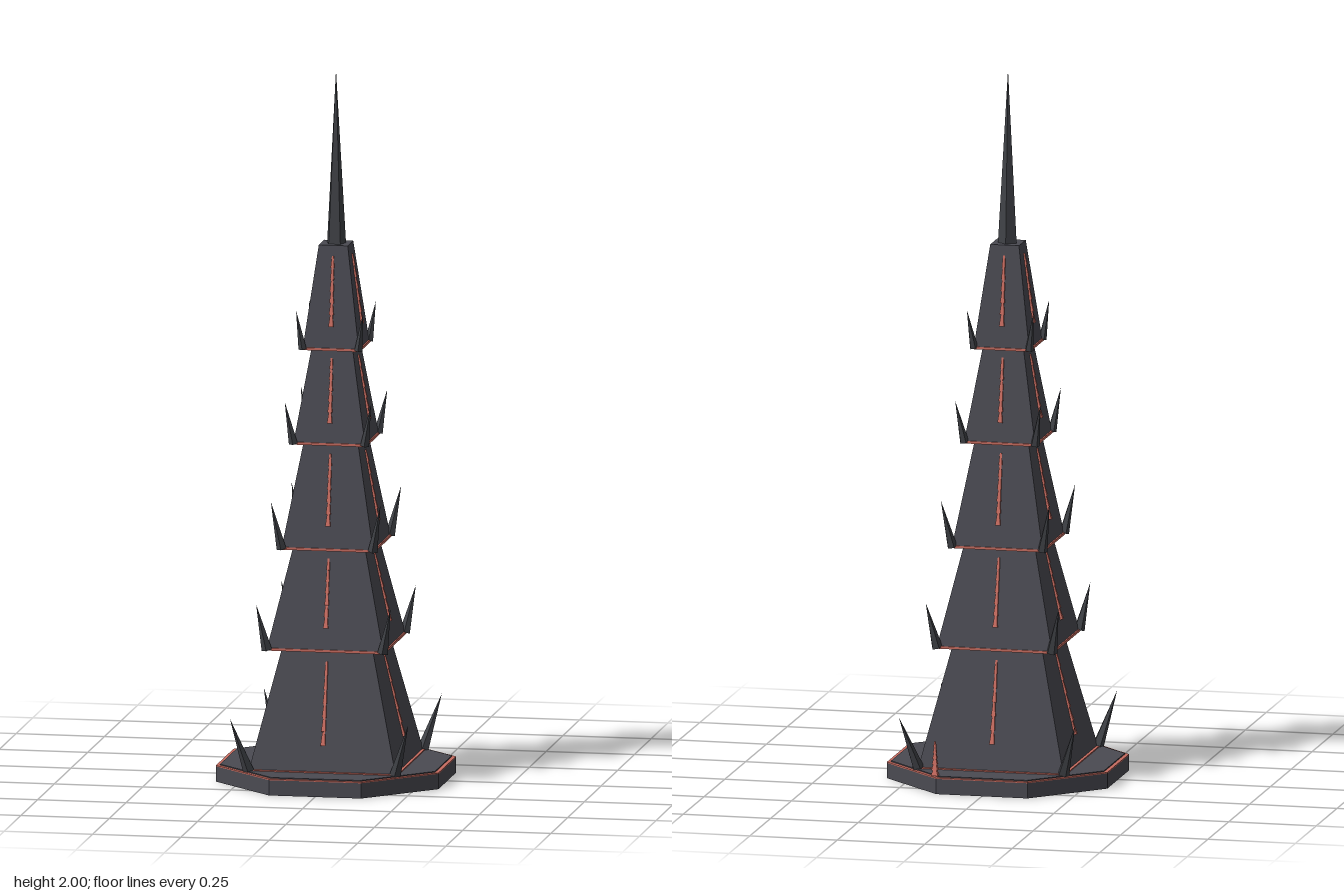
import * as THREE from 'three';

const material = (name, color) => new THREE.MeshStandardMaterial({ name, color, flatShading: true });

export function createModel() {
  const stone = material('dark stone', 0x4a4a52);
  const iron = material('dark iron', 0x404247);
  const ember = material('ember red', 0xc86c60);
  const group = new THREE.Group();
  group.name = 'spiredTower';

  const add = (name, geometry, mat, parent = group) => {
    const mesh = new THREE.Mesh(geometry, mat);
    mesh.name = name;
    parent.add(mesh);
    return mesh;
  };

  // Upright frustum whose flat sides face the axes, sized by half widths
  const frustum = (sides, top, bottom, y0, y1) => {
    const k = 1 / Math.cos(Math.PI / sides);
    return new THREE.CylinderGeometry(top * k, bottom * k, y1 - y0, sides)
      .rotateY(Math.PI / sides)
      .translate(0, (y0 + y1) / 2, 0);
  };

  // Serrated rod of stacked tapering segments, standing on its origin
  const serratedRod = (name, length, count, radius, taper, parent = group) => {
    const rod = new THREE.Group();
    rod.name = name;
    const step = length / count;
    for (let i = 0; i < count; i++) {
      const r = radius * (1 - taper * i / count);
      add('rodSegment', frustum(4, r * 0.5, r, i * step, (i + 1) * step), ember, rod);
    }
    parent.add(rod);
    return rod;
  };

  // Octagonal plinth with a thin glowing rim
  add('plinth', frustum(8, 0.315, 0.315, 0, 0.043), stone);
  add('plinthRim', frustum(8, 0.315, 0.315, 0.043, 0.046), ember);
  add('plinthTop', frustum(8, 0.304, 0.304, 0.046, 0.049), stone);

  // Tiers: bottom y, top y, bottom half width, top half width, spike tip offset, spike height
  const tiers = [
    [0.048, 0.385, 0.207, 0.128, 0.045, 0.152],
    [0.385, 0.665, 0.164, 0.102, 0.026, 0.13],
    [0.665, 0.958, 0.129, 0.077, 0.026, 0.135],
    [0.958, 1.222, 0.101, 0.058, 0.021, 0.12],
    [1.222, 1.51, 0.079, 0.041, 0.016, 0.11],
  ];
  const up = new THREE.Vector3(0, 1, 0);

  tiers.forEach(([y0, y1, bottom, top, lean, height], index) => {
    const tier = new THREE.Group();
    tier.name = `tier${index + 1}`;
    group.add(tier);
    const trim = index ? 0.004 : 0.008;
    add('tierTrim', frustum(4, bottom + trim, bottom + trim, y0 - 0.003, y0 + 0.004), ember, tier);
    add('tierWall', frustum(4, top, bottom, y0 + 0.004, y1), stone, tier);

    // Leaning five-sided spike on each corner
    const radius = 0.017 - index * 0.0012;
    for (const sx of [-1, 1]) {
      for (const sz of [-1, 1]) {
        const direction = new THREE.Vector3(sx * lean, height, sz * lean);
        const length = direction.length();
        const spike = add('cornerSpike',
          new THREE.ConeGeometry(radius, length, 5).translate(0, length / 2, 0), iron, tier);
        spike.position.set(sx * bottom, y0, sz * bottom);
        spike.quaternion.setFromUnitVectors(up, direction.normalize());
      }
    }

    // Serrated ember seam running up each face
    const slope = Math.atan2(bottom - top, y1 - y0);
    const start = 0.22;
    const seamLength = (y1 - y0) * 0.68 / Math.cos(slope);
    for (let i = 0; i < 4; i++) {
      const side = new THREE.Group();
      side.name = 'faceSeam';
      side.rotation.y = i * Math.PI / 2;
      tier.add(side);
      const rod = serratedRod('seamRod', seamLength, 6, 0.007, 0.35, side);
      rod.position.set(0, y0 + (y1 - y0) * start, bottom + (top - bottom) * start + 0.001);
      rod.rotation.x = -slope;
    }
  });

  // Five-sided crowning spire
  add('spire', new THREE.ConeGeometry(0.028, 0.49, 5).rotateY(Math.PI).translate(0, 1.755, 0), iron);

  // Small serrated marker at the back of the plinth
  serratedRod('plinthMarker', 0.096, 6, 0.01, 0.75).position.set(0.139, 0.048, -0.292);

  return group;
}
